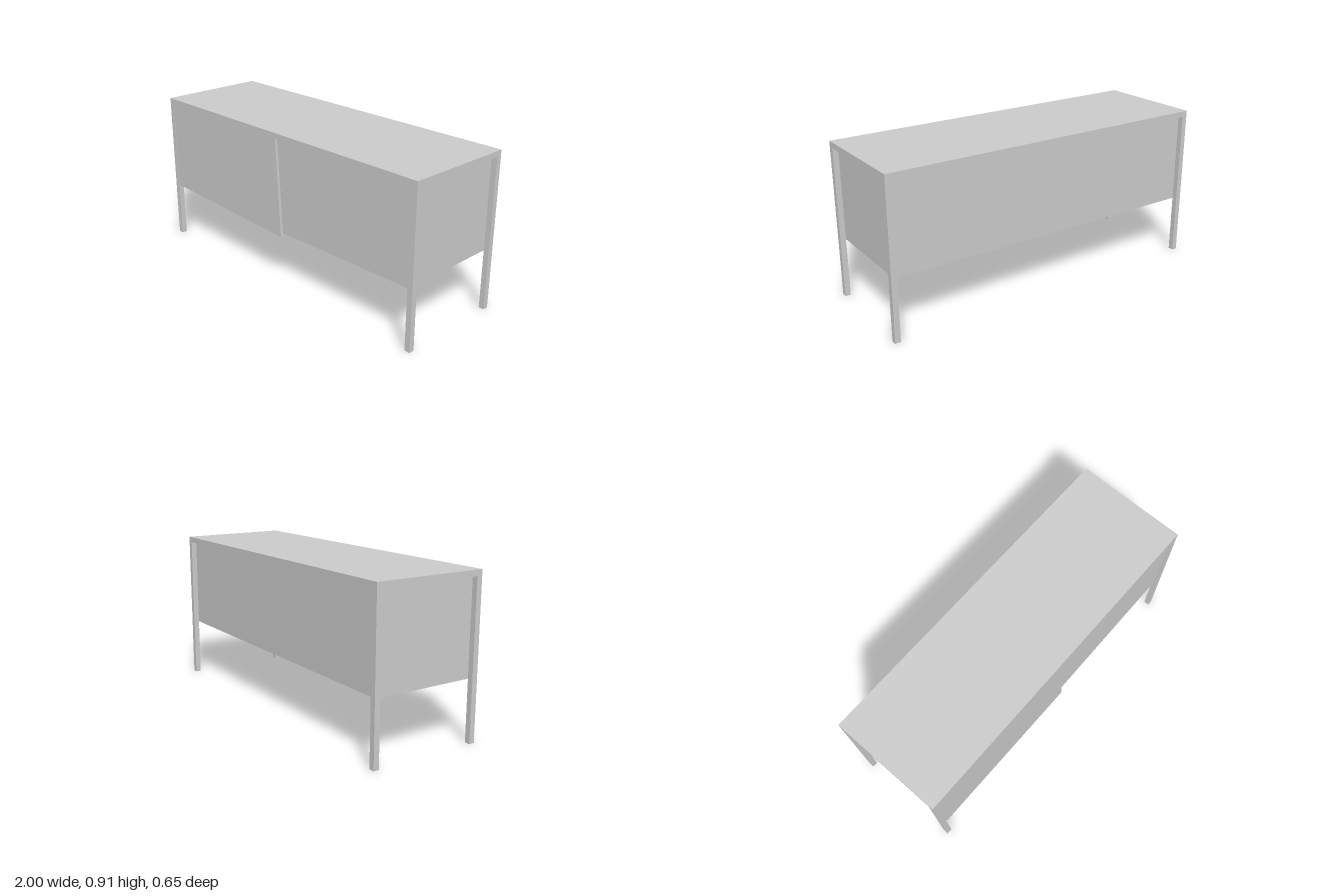
import * as THREE from 'three';

const material = new THREE.MeshStandardMaterial({ color: 0xcccccc, flatShading: true });

function add(group, name, geometry, x, y, z) {
  const mesh = new THREE.Mesh(geometry, material);
  mesh.name = name;
  mesh.position.set(x, y, z);
  group.add(mesh);
}

// Flat door cut from an outline, with its back face at z
function addDoor(group, name, corners, z, thickness) {
  const shape = new THREE.Shape(corners.map(([x, y]) => new THREE.Vector2(x, y)));
  const geometry = new THREE.ExtrudeGeometry(shape, { depth: thickness, bevelEnabled: false });
  add(group, name, geometry, 0, 0, z);
}

export function createModel() {
  const group = new THREE.Group();
  group.name = 'sideboard';
  const height = 0.91, halfDepth = 0.326, bar = 0.032;
  const under = height - bar;
  const inner = halfDepth - bar;

  // Table top
  add(group, 'top', new THREE.BoxGeometry(2, bar, halfDepth * 2), 0, height - bar / 2, 0);

  // Corner legs, flush with the top's edges
  for (const sx of [1, -1]) {
    for (const sz of [1, -1]) {
      const name = (sz > 0 ? 'front' : 'back') + (sx > 0 ? 'Left' : 'Right') + 'Leg';
      add(group, name, new THREE.BoxGeometry(bar, under, bar),
        sx * (1 - bar / 2), under / 2, sz * (halfDepth - bar / 2));
    }
  }

  // Cabinet body, set back inside the frame
  const floor = 0.345;
  add(group, 'cabinetBody', new THREE.BoxGeometry((1 - bar) * 2, under - floor, inner * 2),
    0, (under + floor) / 2, 0);

  // Two sagging sliding doors, one running in front of the other
  const side = 1 - bar;
  addDoor(group, 'rearSlidingDoor',
    [[0, under], [0.03, 0.325], [side, 0.34], [side, under]], inner, bar / 2);
  addDoor(group, 'frontSlidingDoor',
    [[-side + 0.004, under], [-side + 0.004, 0.34], [0.038, 0.305], [0.003, under]],
    inner + bar / 2, bar / 2);

  return group;
}
